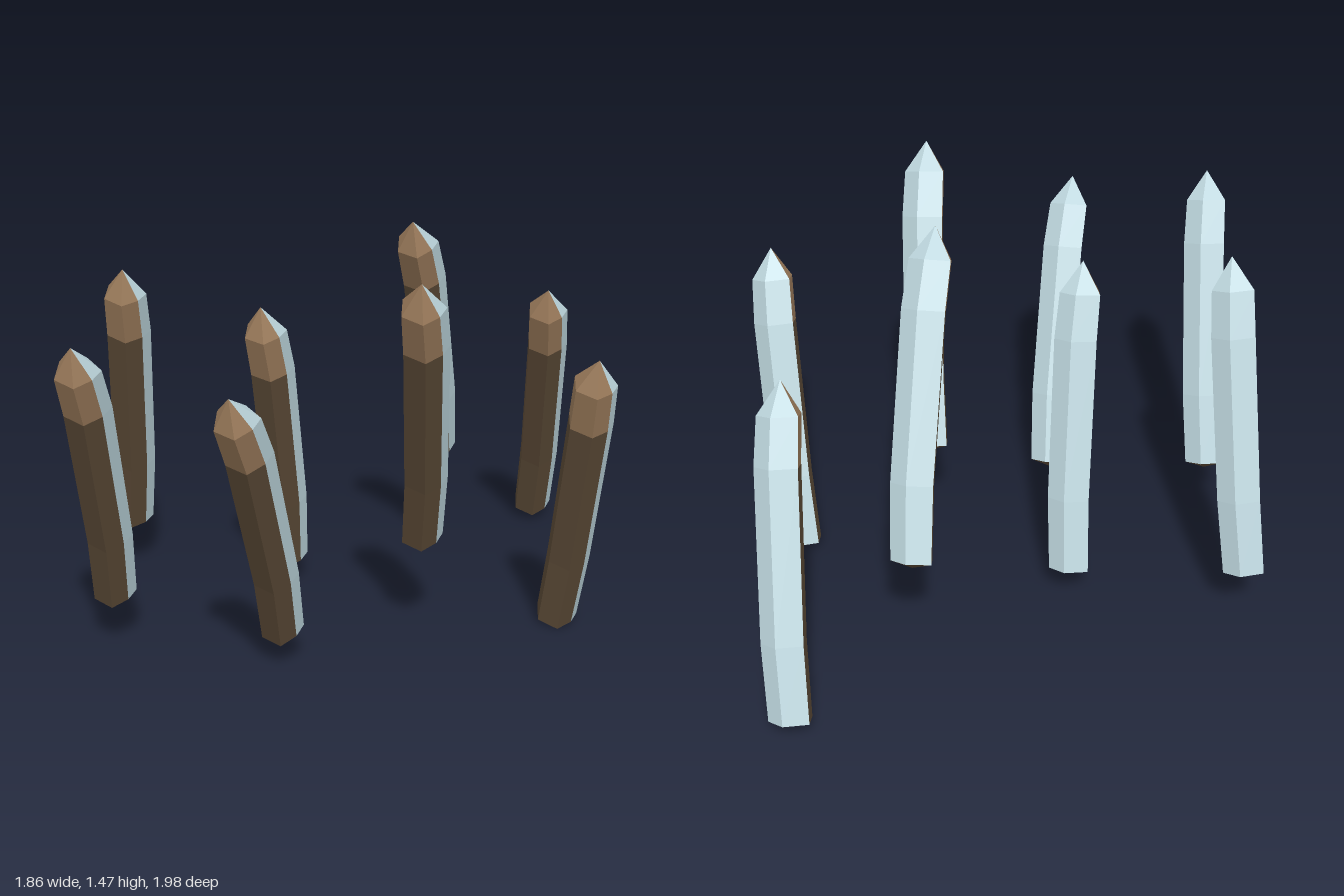
import * as THREE from 'three';

const paint = (name, color) => {
  const m = new THREE.MeshStandardMaterial({ color });
  m.name = name;
  return m;
};

// Base centre [x, y, z] and apex [x, y, z] of each leaning stake
const STAKES = [
  [[-0.855, 0.215, -0.37], [-0.79, 1.315, 0.0]],
  [[-0.23, 0.125, -0.215], [-0.285, 1.225, 0.155]],
  [[0.345, 0.455, -0.57], [0.24, 1.485, -0.055]],
  [[0.765, 0.07, -0.93], [0.76, 1.135, -0.455]],
  [[-0.81, 0.21, 0.33], [-0.82, 1.265, 0.8]],
  [[-0.2, 0.14, 0.46], [-0.31, 1.165, 0.98]],
  [[0.285, 0.4, 0.22], [0.27, 1.455, 0.7]],
  [[0.79, 0.04, 0.1], [0.86, 1.14, 0.46]],
];

// Uneven six-sided section [across, forward]; the first three faces are bare wood
const SECTION = [[-0.84, -0.72], [-0.88, 0.4], [0, 0.95], [0.68, 0.42], [0.98, -0.2], [0.3, -0.95]];

// Rings up the stake: [height fraction, forward fraction, sideways bow, radius]
const RINGS = [
  [0, 0, 0, 0.078],
  [0.245, 0.21, 0.012, 0.081],
  [0.765, 0.715, 0.012, 0.082],
  [0.905, 0.885, 0.004, 0.078],
];

function stakeRings(base, apex) {
  const axis = apex.clone().sub(base);
  const up = axis.clone().normalize();
  const across = new THREE.Vector3(1, 0, 0).addScaledVector(up, -up.x).normalize();
  const forward = across.clone().cross(up);
  const rings = RINGS.map(([h, f, bow, r]) => {
    const c = new THREE.Vector3(base.x + axis.x * f + bow, base.y + axis.y * h, base.z + axis.z * f);
    return SECTION.map(([u, v]) => c.clone().addScaledVector(across, u * r).addScaledVector(forward, v * r));
  });
  // Shallow point underneath and sharp point on top
  const foot = base.clone().addScaledVector(up, -0.025);
  return [SECTION.map(() => foot), ...rings, SECTION.map(() => apex)];
}

function facetMesh(name, points, material) {
  const geo = new THREE.BufferGeometry().setFromPoints(points);
  geo.computeVertexNormals();
  const mesh = new THREE.Mesh(geo, material);
  mesh.name = name;
  return mesh;
}

export function createModel() {
  const model = new THREE.Group();
  model.name = 'leaningStakes';
  const bark = paint('dark wood', 0x5e4c38);
  const cut = paint('cut wood', 0xa07f5e);
  const snow = paint('pale snow', 0xbfd8df);

  STAKES.forEach(([b, a], n) => {
    const rings = stakeRings(new THREE.Vector3(...b), new THREE.Vector3(...a));
    const parts = { shaft: [], sharpenedTip: [], snowCover: [] };
    const last = rings.length - 2;
    for (let k = 0; k <= last; k++) {
      for (let i = 0; i < 6; i++) {
        const j = (i + 1) % 6;
        const [p, q, r, s] = [rings[k][i], rings[k][j], rings[k + 1][j], rings[k + 1][i]];
        // Foot is all dark wood; above it the back faces are snow
        const part = k === 0 ? parts.shaft
          : i > 2 ? parts.snowCover
          : k >= last - 1 ? parts.sharpenedTip : parts.shaft;
        if (k > 0) part.push(p, q, r);
        if (k === 0) part.push(p, r, s);
        else if (k < last) part.push(p, r, s);
      }
    }
    const stake = new THREE.Group();
    stake.name = `stake${n + 1}`;
    stake.add(
      facetMesh('shaft', parts.shaft, bark),
      facetMesh('sharpenedTip', parts.sharpenedTip, cut),
      facetMesh('snowCover', parts.snowCover, snow),
    );
    model.add(stake);
  });
  return model;
}
